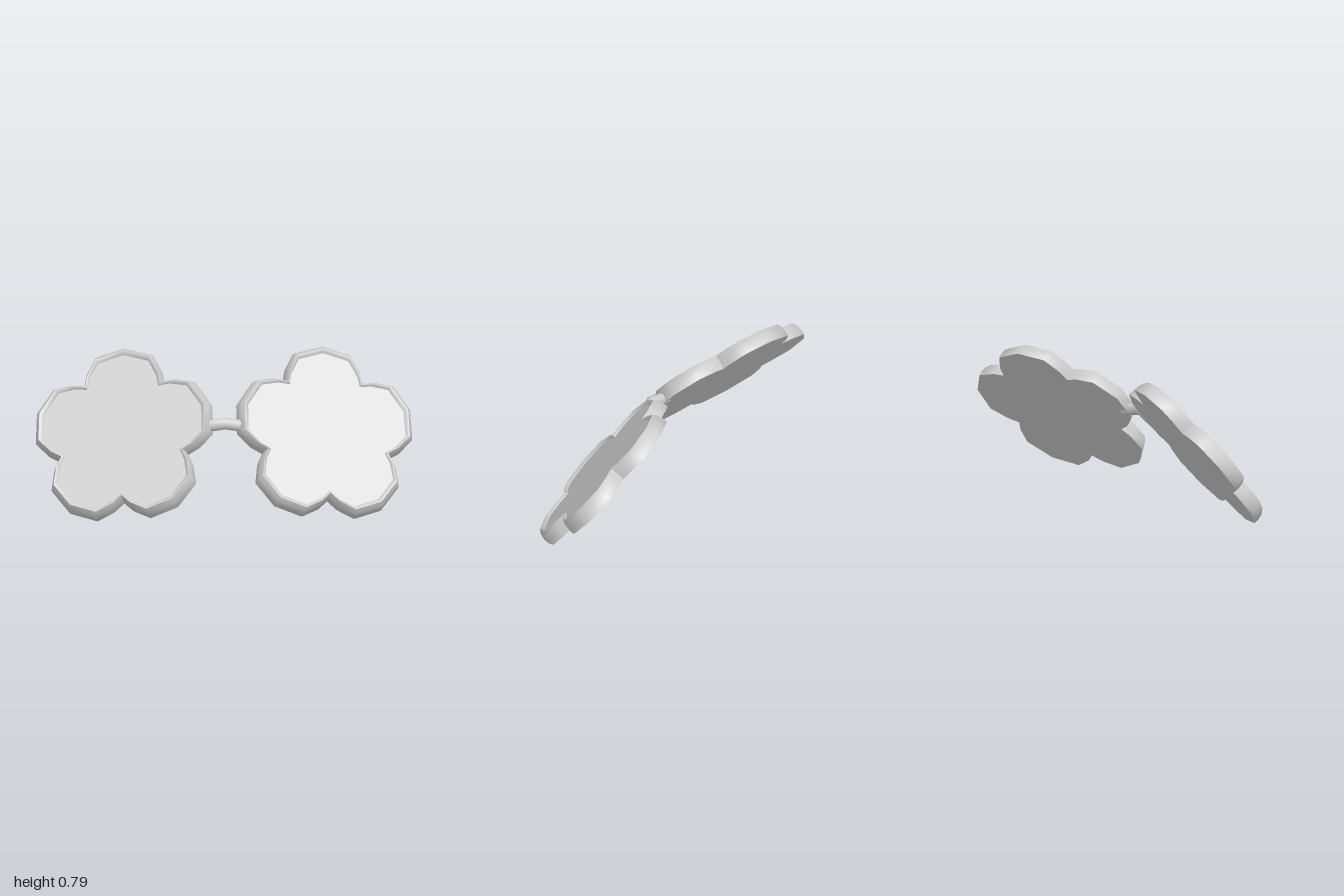
import * as THREE from 'three';
import { toCreasedNormals } from 'three/addons/utils/BufferGeometryUtils.js';

const frameGrey = new THREE.MeshStandardMaterial({ color: 0xcccccc });
frameGrey.name = 'light grey';

// Half a petal: [degrees from the petal axis, radius]
const PETAL = [[-36, 0.365], [-29, 0.415], [-18.5, 0.48], [0, 0.5], [18.5, 0.48], [29, 0.415]];
// Rim cross-section from the back edge to the recessed face: [inset, height]
const RIM = [[0, 0], [0.001, 0.03], [0.009, 0.06], [0.026, 0.083], [0.036, 0.081], [0.048, 0.068]];

// Five-petalled outline, anticlockwise, pulled in by an inset
function outline(startDeg, inset) {
  const pts = [];
  for (let p = 0; p < 5; p++) {
    for (const [deg, r] of PETAL) {
      const a = THREE.MathUtils.degToRad(startDeg + 72 * p + deg);
      const rr = r * (1 - inset / 0.48);
      pts.push(new THREE.Vector2(Math.cos(a) * rr, Math.sin(a) * rr));
    }
  }
  return pts;
}

// Rounded rim lofted through the cross-section rings
function rimGeometry(startDeg) {
  const pos = [], idx = [];
  const n = PETAL.length * 5;
  for (const [inset, h] of RIM) {
    for (const p of outline(startDeg, inset)) pos.push(p.x, p.y, h);
  }
  for (let k = 0; k < RIM.length - 1; k++) {
    for (let i = 0; i < n; i++) {
      const a = k * n + i, b = k * n + (i + 1) % n;
      idx.push(a, b, b + n, a, b + n, a + n);
    }
  }
  const g = new THREE.BufferGeometry();
  g.setAttribute('position', new THREE.Float32BufferAttribute(pos, 3));
  g.setIndex(idx);
  return toCreasedNormals(g, 0.85);
}

// One flower lens; side is +1 for left, -1 for right
function flowerLens(side) {
  const g = new THREE.Group();
  g.name = side > 0 ? 'leftFlowerLens' : 'rightFlowerLens';
  const start = side > 0 ? 9 : 171;

  const add = (geo, name) => {
    const m = new THREE.Mesh(geo, frameGrey);
    m.name = name;
    g.add(m);
    return m;
  };
  add(rimGeometry(start), 'rim');

  // Recessed front face
  const [inset, height] = RIM[RIM.length - 1];
  add(new THREE.ShapeGeometry(new THREE.Shape(outline(start, inset))), 'frontFace').position.z = height;

  // Flat back
  const flipped = outline(start, 0).map((p) => new THREE.Vector2(-p.x, p.y)).reverse();
  add(new THREE.ShapeGeometry(new THREE.Shape(flipped)).rotateY(Math.PI), 'backFace');

  // Lean back and turn outwards
  const normal = new THREE.Vector3(0.23 * side, 0.615, 0.754).normalize();
  const across = new THREE.Vector3(0, 1, 0).cross(normal).normalize();
  const up = normal.clone().cross(across);
  g.quaternion.setFromRotationMatrix(new THREE.Matrix4().makeBasis(across, up, normal));
  g.position.set(0.53 * side, 0.374, -0.034);
  return g;
}

export function createModel() {
  const model = new THREE.Group();
  model.name = 'flowerGlasses';
  model.add(flowerLens(1), flowerLens(-1));

  // Slightly arched nose bridge
  const path = new THREE.CurvePath();
  const mid = new THREE.Vector3(0, 0.492, 0.073);
  path.add(new THREE.LineCurve3(new THREE.Vector3(-0.11, 0.468, 0.05), mid));
  path.add(new THREE.LineCurve3(mid, new THREE.Vector3(0.11, 0.468, 0.05)));
  const bridge = new THREE.Mesh(new THREE.TubeGeometry(path, 2, 0.033, 8), frameGrey);
  bridge.name = 'bridge';
  model.add(bridge);
  return model;
}
